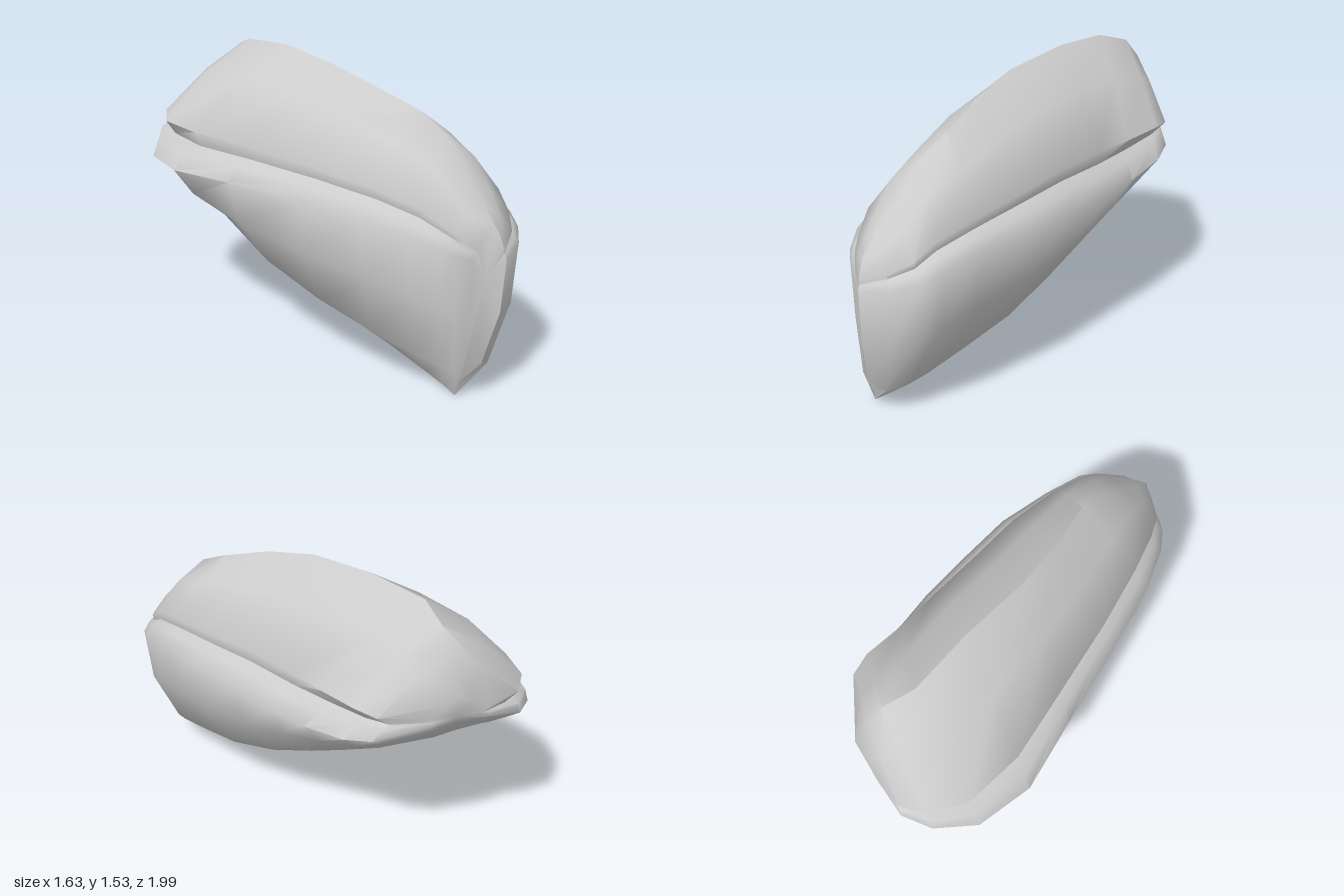
import * as THREE from 'three';
import { toCreasedNormals } from 'three/addons/utils/BufferGeometryUtils.js';

// Stations from back to front:
// left edge x,z | right edge x,z | rim height | keel x,y,z | ridge x,y,z
const stations = [
  [-0.45, -0.97, -0.15, -0.97, 1.02, -0.30, 0.99, -0.93, -0.28, 1.18, -1.00],
  [-0.65, -0.92, 0.10, -0.90, 0.96, -0.40, 0.90, -0.85, -0.27, 1.36, -0.90],
  [-0.76, -0.80, 0.20, -0.80, 0.93, -0.42, 0.80, -0.74, -0.26, 1.46, -0.82],
  [-0.82, -0.58, 0.32, -0.58, 0.89, -0.38, 0.65, -0.57, -0.25, 1.51, -0.65],
  [-0.74, -0.28, 0.43, -0.40, 0.89, -0.28, 0.52, -0.38, -0.10, 1.53, -0.35],
  [-0.50, 0.03, 0.55, -0.15, 0.90, -0.10, 0.32, -0.02, 0.06, 1.49, 0.00],
  [-0.22, 0.40, 0.68, 0.13, 0.90, 0.08, 0.19, 0.25, 0.22, 1.42, 0.25],
  [0.03, 0.70, 0.76, 0.42, 0.88, 0.25, 0.11, 0.50, 0.40, 1.33, 0.46],
  [0.22, 0.87, 0.81, 0.64, 0.84, 0.37, 0.05, 0.70, 0.47, 1.24, 0.63],
  [0.34, 0.94, 0.81, 0.74, 0.80, 0.43, 0.02, 0.82, 0.53, 1.08, 0.77],
  [0.41, 0.96, 0.76, 0.87, 0.77, 0.46, 0.00, 0.89, 0.57, 0.98, 0.87],
  [0.49, 0.97, 0.65, 0.99, 0.74, 0.46, 0.06, 0.90, 0.60, 0.90, 0.94],
];

// Moves from an edge point toward a keel or ridge point: h across, v in height
const toward = (a, b, h, v) => new THREE.Vector3(
  a.x + (b.x - a.x) * h, a.y + (b.y - a.y) * v, a.z + (b.z - a.z) * h);

// One closed section: keel, right wall, shelf, cap, ridge, and down the left
function section(s, i) {
  const left = new THREE.Vector3(s[0], s[4], s[1]);
  const right = new THREE.Vector3(s[2], s[4], s[3]);
  const keel = new THREE.Vector3(s[5], s[6], s[7]);
  const ridge = new THREE.Vector3(s[8], s[9], s[10]);
  const clamp = THREE.MathUtils.clamp;
  const lip = Math.min(0.2, 0.01 + i * 0.045); // the cap overhangs more at the back
  const side = (edge, low, mid, shelf) => [
    toward(edge, keel, low, 0.8),
    toward(edge, keel, mid, 0.4),
    edge,
    toward(edge, ridge, shelf, 0.13),
    toward(edge, ridge, 0.23, 0.19),
    toward(edge, ridge, lip, 0.31),
    toward(edge, ridge, 0.57, 0.73),
  ];
  return [
    keel,
    ...side(right, clamp(0.2 + i * 0.025, 0.3, 0.44), 0.08, 0.12),
    ridge,
    ...side(left, clamp(0.92 - i * 0.08, 0.35, 0.6), clamp(0.5 - i * 0.07, 0.1, 0.28),
      clamp(i * 0.02, 0.04, 0.12)).reverse(),
  ];
}

function loft(rings) {
  const pos = [];
  const tri = (...pts) => pts.forEach((p) => pos.push(p.x, p.y, p.z));
  const n = rings[0].length;
  for (let i = 0; i < rings.length - 1; i++) {
    for (let j = 0; j < n; j++) {
      const k = (j + 1) % n;
      const a = rings[i][j], b = rings[i][k], c = rings[i + 1][k], d = rings[i + 1][j];
      tri(a, b, d);
      tri(b, c, d);
    }
  }
  // Closed ends
  const cap = (ring, front) => {
    const mid = ring.reduce((m, p) => m.add(p), new THREE.Vector3()).divideScalar(n);
    ring.forEach((p, j) => {
      const q = ring[(j + 1) % n];
      if (front) tri(mid, p, q);
      else tri(mid, q, p);
    });
  };
  cap(rings[0], false);
  cap(rings[rings.length - 1], true);
  const geo = new THREE.BufferGeometry();
  geo.setAttribute('position', new THREE.Float32BufferAttribute(pos, 3));
  return toCreasedNormals(geo, 1.1);
}

export function createModel() {
  const group = new THREE.Group();
  group.name = 'rock';
  const boulder = new THREE.Mesh(
    loft(stations.map(section)),
    new THREE.MeshStandardMaterial({ color: 0xcccccc }));
  boulder.name = 'boulder';
  group.add(boulder);
  return group;
}
